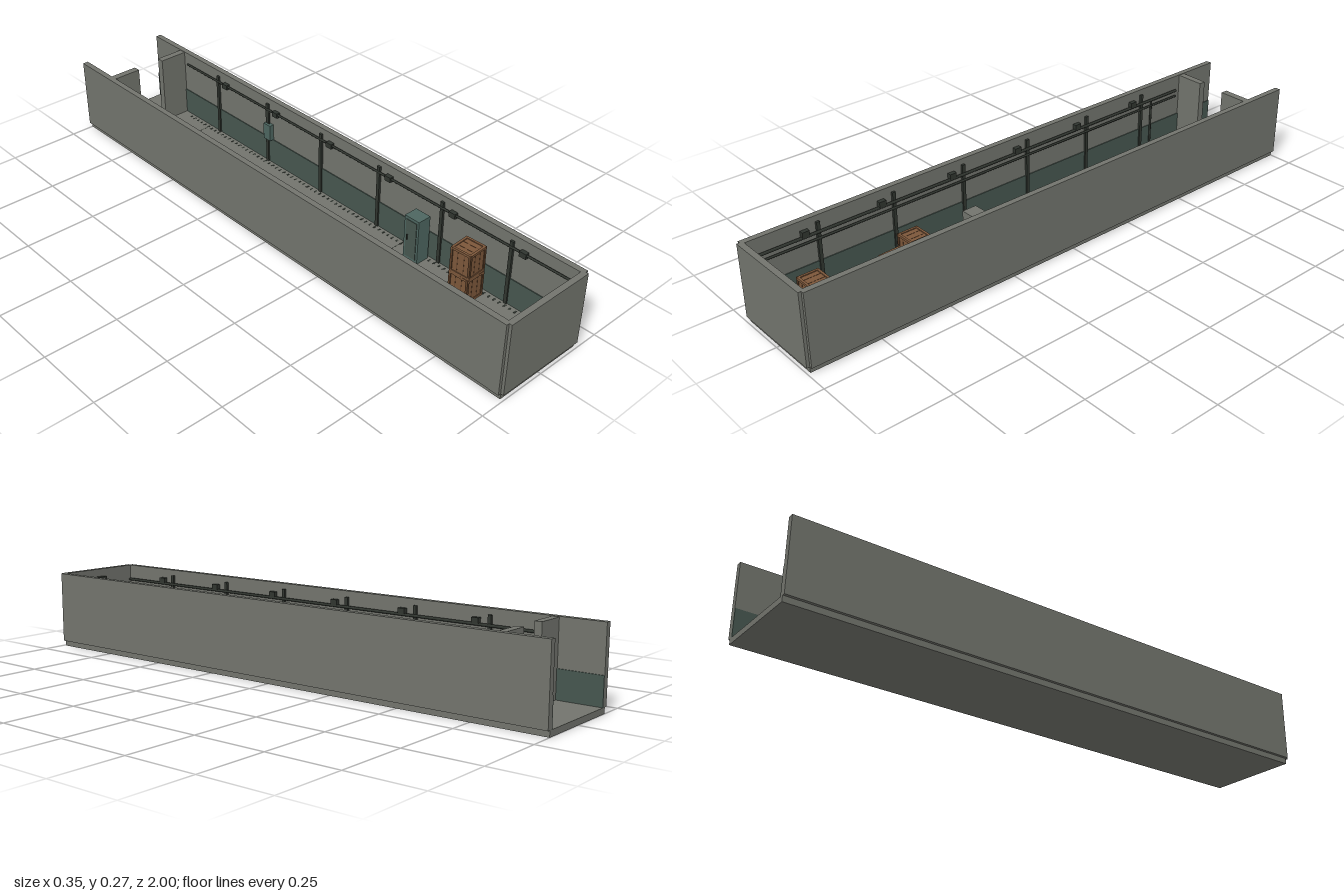
import * as THREE from 'three';

const mat = (name, color) => {
  const m = new THREE.MeshStandardMaterial({ color });
  m.name = name;
  return m;
};

export function createModel() {
  const concrete = mat('concrete', 0x72746d);
  const dadoGreen = mat('dark green paint', 0x46564f);
  const teal = mat('teal metal', 0x4d6660);
  const metal = mat('dark metal', 0x30352f);
  const wood = mat('wood', 0x7c573a);
  const darkWood = mat('dark wood', 0x5e4029);
  const model = new THREE.Group();
  model.name = 'corridor';

  // Box from minimum and maximum corners
  const box = (name, m, x0, x1, y0, y1, z0, z1, parent = model) => {
    const mesh = new THREE.Mesh(new THREE.BoxGeometry(x1 - x0, y1 - y0, z1 - z0), m);
    mesh.position.set((x0 + x1) / 2, (y0 + y1) / 2, (z0 + z1) / 2);
    mesh.name = name;
    parent.add(mesh);
    return mesh;
  };
  // Straight round pipe between two points
  const pipe = (name, r, a, b) => {
    const p = new THREE.Vector3(...a), q = new THREE.Vector3(...b);
    const mesh = new THREE.Mesh(new THREE.CylinderGeometry(r, r, p.distanceTo(q), 8), metal);
    mesh.position.copy(p).lerp(q, 0.5);
    mesh.quaternion.setFromUnitVectors(new THREE.Vector3(0, 1, 0), q.sub(p).normalize());
    mesh.name = name;
    model.add(mesh);
  };

  // Shell
  box('floor', concrete, -0.165, 0.165, 0, 0.02, -1, 0.99);
  box('endWall', concrete, -0.165, 0.165, 0.02, 0.27, 0.98, 1);
  box('endWallPaint', dadoGreen, -0.155, 0.155, 0.02, 0.115, 0.977, 0.981);
  for (const z of [-0.675, 0.32]) box('floorSeam', metal, -0.153, 0.153, 0.0195, 0.0203, z - 0.001, z + 0.001);

  const posts = [0, 1, 2, 3, 4, 5].map((i) => -0.622 + i * 0.273);
  for (const s of [-1, 1]) {
    const side = (name, m, d0, d1, y0, y1, z0, z1) =>
      box(name, m, Math.min(s * d0, s * d1), Math.max(s * d0, s * d1), y0, y1, z0, z1);
    side('sideWall', concrete, 0.155, 0.175, 0.02, 0.27, -1, 0.99);
    side('sideWallPaint', dadoGreen, 0.152, 0.156, 0.02, 0.115, -1, 0.98);
    side('doorwayWall', concrete, 0.052, 0.156, 0.02, 0.268, -0.85, -0.825);

    // Wall ribs with a junction box beside each
    for (const z of posts) {
      side('wallRib', metal, 0.147, 0.156, 0.02, 0.25, z - 0.006, z + 0.006);
      side('junctionBox', metal, 0.14, 0.156, 0.22, 0.238, z + 0.035, z + 0.06);
    }
    // Drain slots along the foot of the wall
    for (let i = 0; i < 86; i++) {
      const z = -0.78 + i * 0.0204;
      side('drainSlot', metal, 0.132, 0.144, 0.0195, 0.0206, z - 0.003, z + 0.003);
    }
  }

  // Pipes and conduits
  pipe('leftPipe', 0.004, [0.148, 0.23, -0.8], [0.148, 0.23, 0.975]);
  pipe('rightUpperPipe', 0.005, [-0.147, 0.217, -0.8], [-0.147, 0.217, 0.975]);
  pipe('rightLowerPipe', 0.004, [-0.147, 0.195, -0.8], [-0.147, 0.195, 0.975]);
  pipe('rightDropPipe', 0.004, [-0.147, 0.03, -0.67], [-0.147, 0.215, -0.67]);
  pipe('leftDropPipe', 0.003, [0.149, 0.15, -0.34], [0.149, 0.23, -0.34]);
  box('switchBox', teal, 0.138, 0.155, 0.115, 0.175, -0.357, -0.323);

  // End door with frame and lamp
  const door = new THREE.Group();
  door.name = 'endDoor';
  model.add(door);
  box('doorPanel', teal, -0.042, 0.042, 0.02, 0.205, 0.967, 0.98, door);
  for (const s of [-1, 1]) box('doorJamb', metal, s * 0.048 - 0.006, s * 0.048 + 0.006, 0.02, 0.215, 0.962, 0.98, door);
  box('doorLintel', teal, -0.054, 0.054, 0.203, 0.215, 0.962, 0.98, door);
  box('doorHandle', metal, 0.022, 0.034, 0.1, 0.106, 0.962, 0.968, door);
  box('doorLamp', metal, -0.018, 0.018, 0.228, 0.242, 0.962, 0.98, door);

  // Cabinet
  box('cabinet', teal, 0.092, 0.143, 0.02, 0.18, 0.372, 0.432);
  box('cabinetDoor', dadoGreen, 0.09, 0.093, 0.032, 0.17, 0.38, 0.424);
  box('cabinetHandle', metal, 0.087, 0.091, 0.095, 0.115, 0.386, 0.39);
  for (let i = 0; i < 3; i++) box('cabinetVent', metal, 0.1, 0.135, 0.14 + i * 0.01, 0.143 + i * 0.01, 0.37, 0.373);

  // Low concrete block
  box('concreteBlock', concrete, -0.132, -0.047, 0.02, 0.095, 0.165, 0.22);
  box('blockFoot', metal, -0.135, -0.044, 0.02, 0.026, 0.162, 0.223);

  // Framed wooden crates
  const crate = (x, y, z, turn) => {
    const g = new THREE.Group();
    g.name = 'crate';
    g.position.set(x, y, z);
    g.rotation.y = turn;
    model.add(g);
    const h = 0.038, t = 0.008, H = 0.09;
    box('crateCore', wood, -h + 0.003, h - 0.003, 0.002, H - 0.003, -h + 0.003, h - 0.003, g);
    for (const a of [-1, 1]) {
      const p0 = a > 0 ? h - t : -h, p1 = p0 + t;
      for (const b of [-1, 1]) {
        const q0 = b > 0 ? h - t : -h, y0 = b > 0 ? H - t : 0;
        box('crateCorner', darkWood, p0, p1, 0, H, q0, q0 + t, g);
        box('crateRailX', wood, -h, h, y0, y0 + t, p0, p1, g);
        box('crateRailZ', wood, p0, p1, y0, y0 + t, -h, h, g);
      }
      // Plank gaps on the four sides
      for (const u of [-0.012, 0.012]) {
        box('plankGapX', darkWood, u - 0.001, u + 0.001, t, H - t, a * (h - 0.003) - 0.0006, a * (h - 0.003) + 0.0006, g);
        box('plankGapZ', darkWood, a * (h - 0.003) - 0.0006, a * (h - 0.003) + 0.0006, t, H - t, u - 0.001, u + 0.001, g);
      }
    }
    for (const u of [-0.012, 0.012]) box('lidGap', darkWood, u - 0.001, u + 0.001, H - 0.004, H - 0.0024, -h + t, h - t, g);
  };
  crate(-0.096, 0.02, 0.44, 0);
  crate(-0.09, 0.02, 0.808, 0);
  crate(0.092, 0.02, 0.632, 0);
  crate(0.092, 0.11, 0.632, 0.05);

  return model;
}
